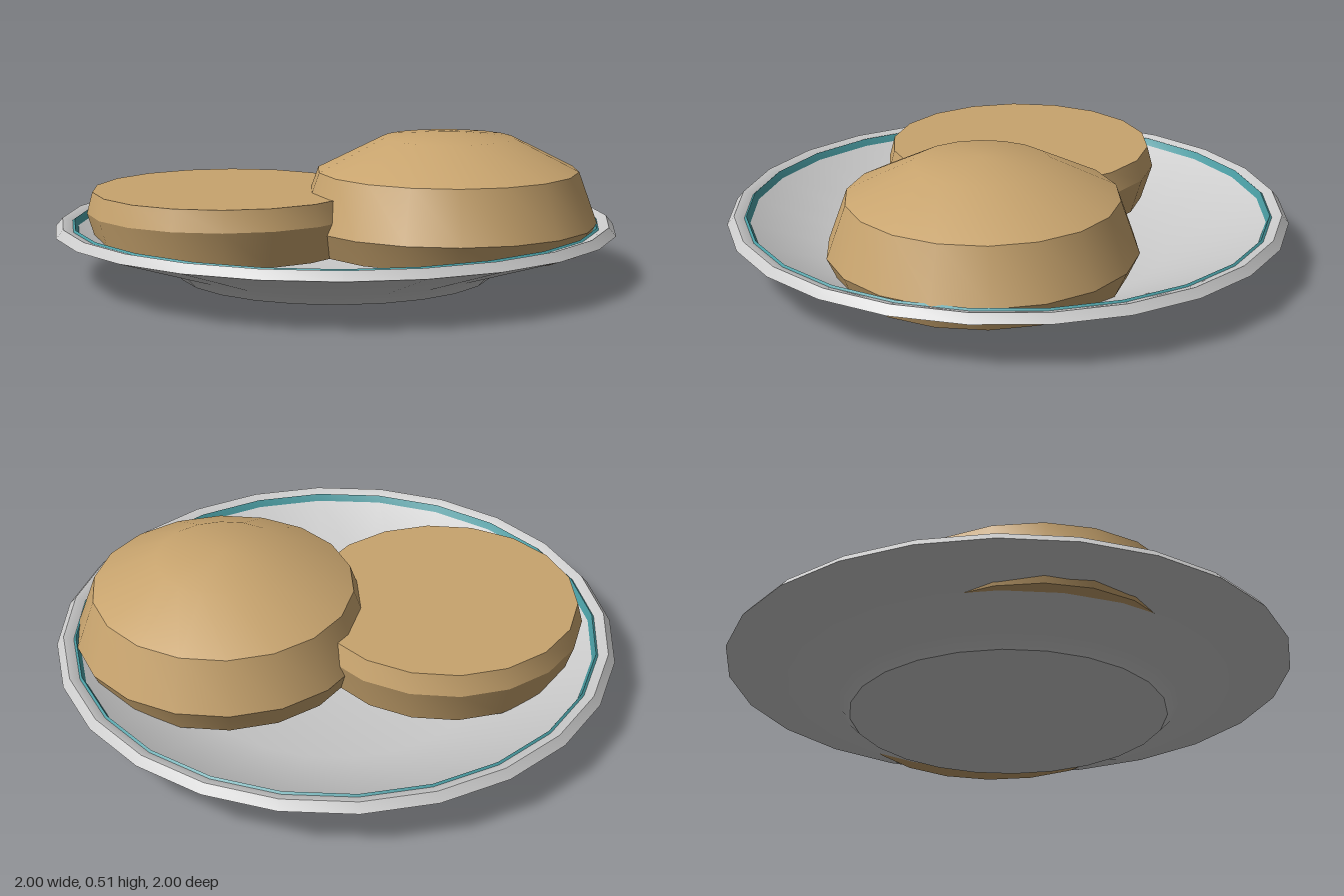
import * as THREE from 'three';
import { toCreasedNormals } from 'three/addons/utils/BufferGeometryUtils.js';

const material = (color) => new THREE.MeshStandardMaterial({ color });

// Turned part from [radius, height] points, running from the underside outwards and up
function turned(name, profile, sides, mat, start = 0) {
  const points = profile.map(([r, y]) => new THREE.Vector2(r, y));
  const lathe = new THREE.LatheGeometry(points, sides, start);
  const mesh = new THREE.Mesh(toCreasedNormals(lathe, 0.5), mat);
  mesh.name = name;
  return mesh;
}

export function createModel() {
  const model = new THREE.Group();
  model.name = 'bunOnPlate';
  const grey = material(0xcccccc);
  const teal = material(0x489aa0);
  const bread = material(0xc8a46e);

  // Plate: foot, sloping underside, rim, and shallow well
  const plate = turned('plate', [
    [0, 0], [0.56, 0], [0.6, 0.04], [1, 0.17], [0.975, 0.2],
    [0.94, 0.19], [0.92, 0.172], [0.57, 0.05], [0, 0.05],
  ], 24, grey);

  // Raised coloured band just inside the rim
  const band = turned('rimBand', [
    [0.945, 0.185], [0.932, 0.196], [0.918, 0.17],
  ], 24, teal);

  // Bottom half of the bun, cut face up
  const facet = Math.PI / 18;
  const bunBottom = turned('bunBottom', [
    [0, 0.1], [0.46, 0.1], [0.5, 0.23], [0.48, 0.305], [0, 0.305],
  ], 18, bread, facet);
  bunBottom.position.set(-0.335, 0, -0.19);

  // Domed top half of the bun
  const bunTop = turned('bunTop', [
    [0, 0.1], [0.49, 0.1], [0.532, 0.19], [0.465, 0.375], [0.235, 0.49], [0, 0.512],
  ], 18, bread, facet);
  bunTop.position.set(0.327, 0, 0.23);

  model.add(plate, band, bunBottom, bunTop);
  return model;
}
